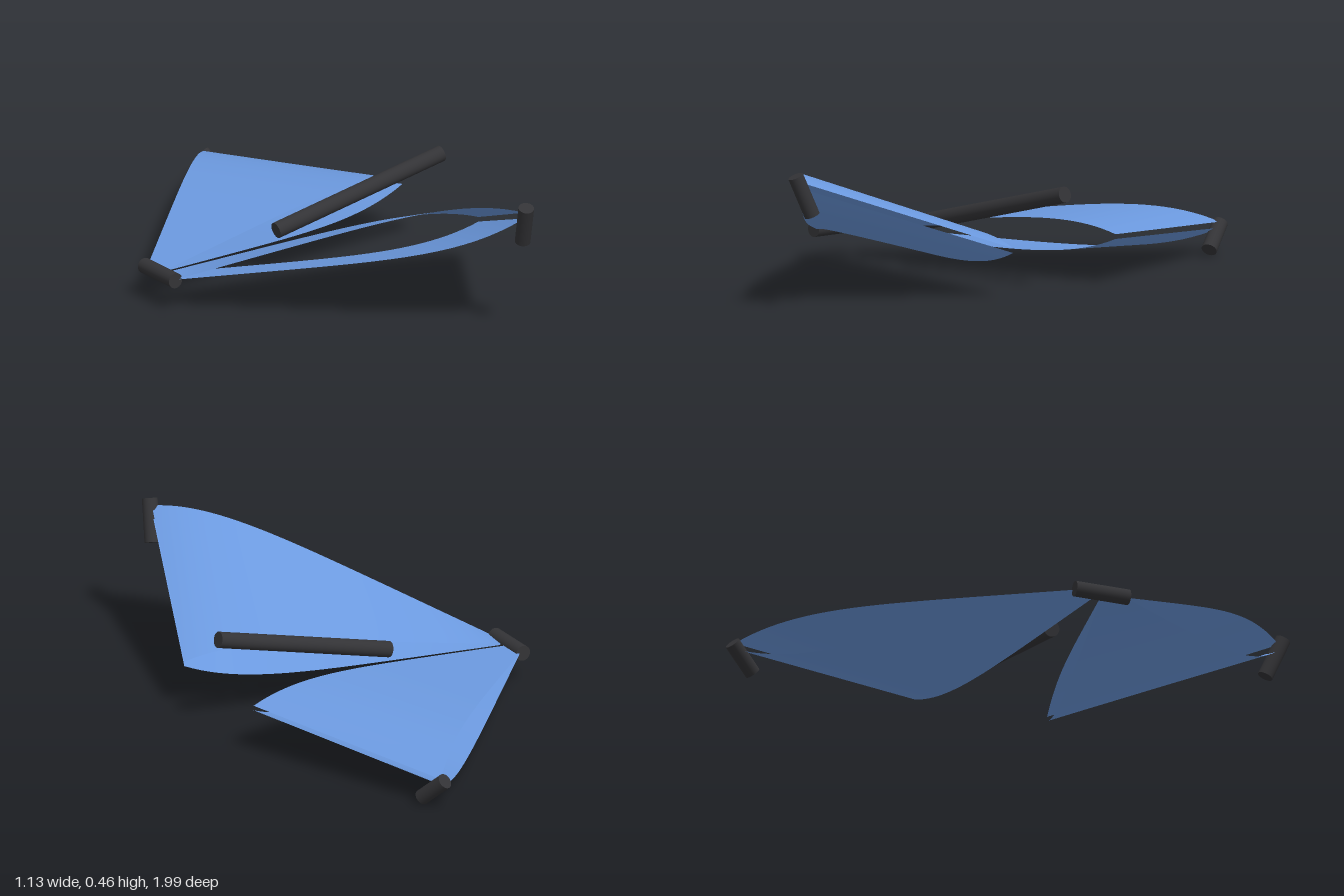
import * as THREE from 'three';

const sailMat = new THREE.MeshStandardMaterial({ color: 0x6c9ae0, side: THREE.DoubleSide });
const rodMat = new THREE.MeshStandardMaterial({ color: 0x333336 });
const V = (x, y, z) => new THREE.Vector3(x, y, z);

// Straight round rod between two points
function rod(name, a, b, radius = 0.026) {
  const dir = b.clone().sub(a);
  const mesh = new THREE.Mesh(new THREE.CylinderGeometry(radius, radius, dir.length(), 24), rodMat);
  mesh.position.copy(a).add(b).multiplyScalar(0.5);
  mesh.quaternion.setFromUnitVectors(V(0, 1, 0), dir.normalize());
  mesh.name = name;
  return mesh;
}

// Billow of a sail sheet from nose (t = 0) to trailing edge (t = 1)
const billow = (t) => 0.107 * t * (1 - t ** 5) + 0.01 * t;

// One cambered sheet stretched over four corners; up is +1 or -1
function sheet(name, noseIn, noseOut, tailIn, tailOut, up) {
  const nt = 40, ns = 8, pos = [], index = [];
  for (let i = 0; i <= nt; i++) {
    const t = i / nt;
    const inner = noseIn.clone().lerp(tailIn, t);
    const outer = noseOut.clone().lerp(tailOut, t);
    for (let j = 0; j <= ns; j++) {
      const s = j / ns;
      const p = inner.clone().lerp(outer, s);
      pos.push(p.x, p.y + up * billow(t) * (0.78 + 0.22 * s), p.z);
    }
  }
  // Wind each sheet so its front looks away from the other one
  const flip = (tailOut.z > 0) !== (up > 0);
  for (let i = 0; i < nt; i++) {
    for (let j = 0; j < ns; j++) {
      const a = i * (ns + 1) + j, b = a + 1, c = a + ns + 1, d = c + 1;
      if (flip) index.push(a, c, b, b, c, d);
      else index.push(a, b, c, b, d, c);
    }
  }
  const geo = new THREE.BufferGeometry();
  geo.setAttribute('position', new THREE.Float32BufferAttribute(pos, 3));
  geo.setIndex(index);
  geo.computeVertexNormals();
  const mesh = new THREE.Mesh(geo, sailMat);
  mesh.name = name;
  return mesh;
}

export function createModel() {
  const model = new THREE.Group();
  model.name = 'doubleSailWing';

  // Two sails, each an upper and a lower sheet; one is raised, the other lowered
  const midZ = 0.012;
  const sails = [
    { name: 'raisedSail', side: 1, tip: V(0.278, 0.42, 0.955) },
    { name: 'loweredSail', side: -1, tip: V(0.267, 0.095, -0.968) },
  ];
  for (const { name, side, tip } of sails) {
    const sail = new THREE.Group();
    sail.name = name;
    const noseIn = V(-0.535, 0.103, midZ + side * 0.005);
    const noseOut = V(-0.535, 0.103, midZ + side * 0.085);
    const tailIn = V(0.553, 0.16, midZ + side * 0.233);
    sail.add(sheet('upperSheet', noseIn, noseOut, tailIn, tip, 1));
    sail.add(sheet('lowerSheet', noseIn, noseOut, tailIn, tip, -1));
    model.add(sail);
  }

  // Nose bar, keel and wing tip rods
  model.add(
    rod('noseBar', V(-0.54, 0.103, -0.083), V(-0.54, 0.103, 0.107)),
    rod('keel', V(-0.088, 0.17, midZ), V(0.556, 0.323, midZ), 0.027),
    rod('raisedTipRod', V(0.277, 0.45, 0.97), V(0.298, 0.317, 0.915)),
    rod('loweredTipRod', V(0.257, 0.1, -0.98), V(0.296, 0.022, -0.893)),
  );
  return model;
}
